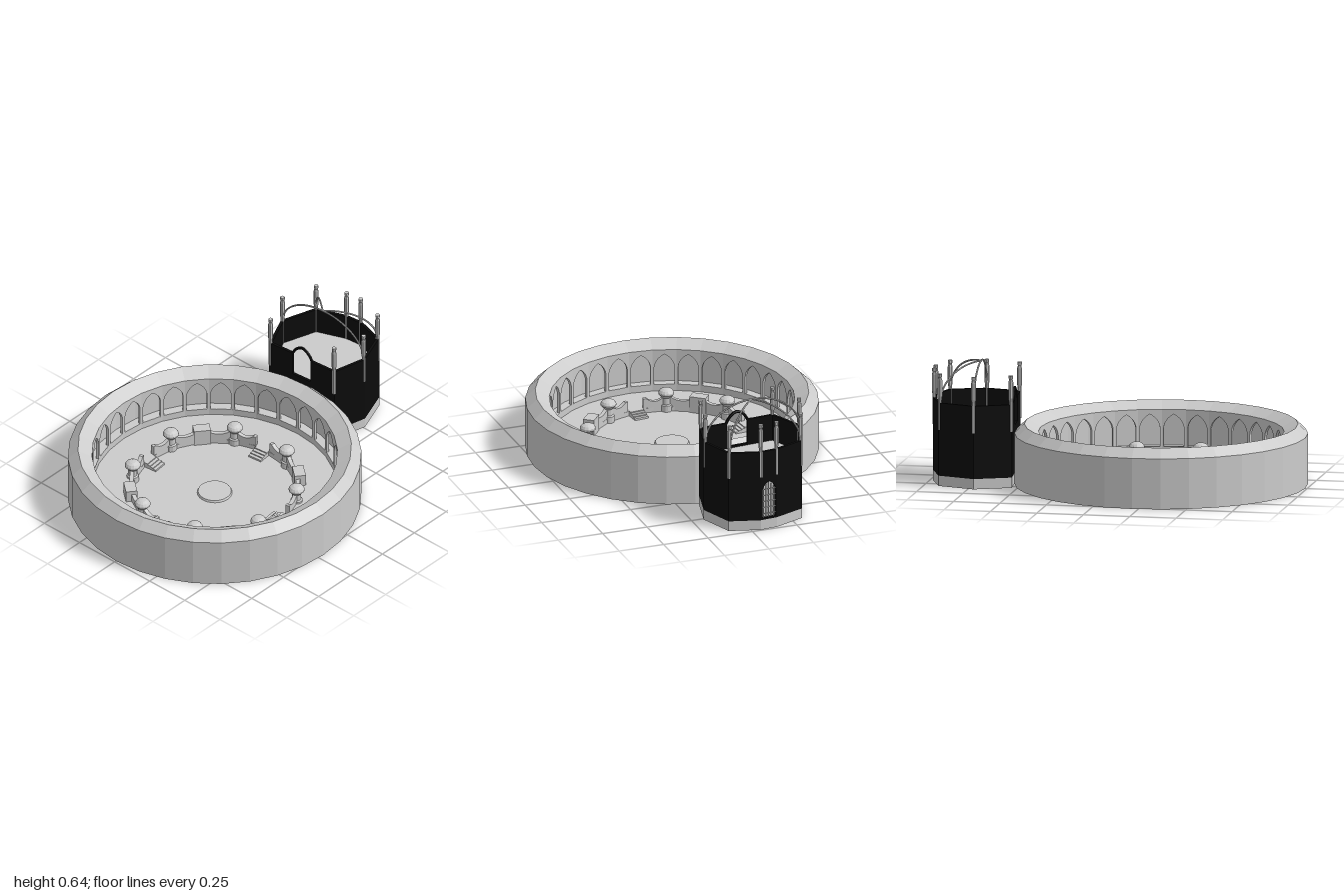
import * as THREE from 'three';

const grey = new THREE.MeshStandardMaterial({ color: 0xcccccc, flatShading: true, side: THREE.DoubleSide });
const dark = new THREE.MeshStandardMaterial({ color: 0x0c0c0c, flatShading: true, side: THREE.DoubleSide });
const V2 = (x, y) => new THREE.Vector2(x, y);
const RAD = Math.PI / 180;

function add(parent, name, geometry, material = grey, x = 0, y = 0, z = 0) {
  const mesh = new THREE.Mesh(geometry, material);
  mesh.name = name;
  mesh.position.set(x, y, z);
  parent.add(mesh);
  return mesh;
}

function lathe(points, sides) {
  return new THREE.LatheGeometry(points.map(p => V2(...p)), sides);
}

function extrude(shape, depth) {
  return new THREE.ExtrudeGeometry(shape, { depth, bevelEnabled: false, curveSegments: 8 });
}

// Group on a circle: local +x points outward, local z runs along the circle
function spot(parent, name, radius, degrees) {
  const g = new THREE.Group();
  const t = degrees * RAD;
  g.name = name;
  g.position.set(radius * Math.cos(t), 0, radius * Math.sin(t));
  g.rotation.y = -t;
  parent.add(g);
  return g;
}

function rectangle(x0, y0, x1, y1) {
  return new THREE.Shape([V2(x0, y0), V2(x1, y0), V2(x1, y1), V2(x0, y1)]);
}

// Pointed opening of half width w around x = cx
function pointedHole(cx, w, y0, spring, peak) {
  const p = new THREE.Path();
  p.moveTo(cx - w, y0);
  p.lineTo(cx - w, spring);
  p.quadraticCurveTo(cx - w * 0.9, spring + (peak - spring) * 0.65, cx, peak);
  p.quadraticCurveTo(cx + w * 0.9, spring + (peak - spring) * 0.65, cx + w, spring);
  p.lineTo(cx + w, y0);
  p.closePath();
  return p;
}

function createArena() {
  const arena = new THREE.Group();
  arena.name = 'arena';
  arena.position.z = 0.215;

  // Outer wall, sloped rim, gallery recess, terrace and sunken floor in one profile
  add(arena, 'ringWallAndFloor', lathe([
    [0, 0.01], [0.055, 0.01], [0.055, 0], [0.775, 0], [0.775, 0.27], [0.722, 0.32],
    [0.648, 0.28], [0.648, 0.265], [0.7, 0.265], [0.7, 0.08], [0.648, 0.08],
    [0.648, 0.045], [0.43, 0.045], [0.43, 0.02], [0, 0.02],
  ], 32));
  add(arena, 'centreDisc', new THREE.CylinderGeometry(0.088, 0.093, 0.012, 24), grey, 0, 0.025, 0);

  // Arcade of pointed arches around the gallery
  const bay = rectangle(-0.064, 0.08, 0.064, 0.27);
  bay.holes.push(pointedHole(0, 0.054, 0.082, 0.18, 0.255));
  const bayGeometry = extrude(bay, 0.014);
  for (let i = 0; i < 32; i++) {
    const g = spot(arena, 'arcadeBay', 0.645, (i + 0.5) * 360 / 32);
    add(g, 'arch', bayGeometry).rotation.y = Math.PI / 2;
  }

  // Bowls on pedestals
  const urn = lathe([
    [0, 0.02], [0.032, 0.02], [0.032, 0.055], [0.024, 0.06], [0.024, 0.095],
    [0.042, 0.115], [0.042, 0.125], [0.034, 0.137], [0.018, 0.145], [0, 0.147],
  ], 14);
  // Scalloped balustrade panel between two angles
  function balustrade(from, to) {
    const r = 0.44;
    const half = r * Math.sin((to - from) / 2 * RAD);
    const s = new THREE.Shape();
    s.moveTo(-half, 0.02);
    s.lineTo(half, 0.02);
    s.lineTo(half, 0.1);
    s.lineTo(half * 0.75, 0.1);
    s.quadraticCurveTo(0, 0.06, -half * 0.75, 0.1);
    s.lineTo(-half, 0.1);
    const g = spot(arena, 'balustrade', r - 0.012, (from + to) / 2);
    add(g, 'scallopedPanel', extrude(s, 0.022)).rotation.y = Math.PI / 2;
  }
  for (let q = 0; q < 4; q++) {
    const a = q * 90;
    add(spot(arena, 'urnA', 0.445, a + 16.5), 'urn', urn);
    add(spot(arena, 'urnB', 0.445, a + 61.5), 'urn', urn);
    add(spot(arena, 'blockSpot', 0.45, a + 39), 'block',
      new THREE.BoxGeometry(0.06, 0.09, 0.09), grey, 0, 0.065, 0);
    balustrade(a, a + 16.5);
    balustrade(a + 16.5, a + 39);
    balustrade(a + 39, a + 61.5);
    balustrade(a + 61.5, a + 78);

    // Steps from the terrace down to the floor
    const stair = spot(arena, 'stair', 0.43, a - 6);
    for (let k = 0; k < 4; k++) {
      const h = 0.03 - k * 0.006;
      add(stair, 'step', new THREE.BoxGeometry(0.02, h, 0.08), grey, -0.01 - k * 0.018, 0.018 + h / 2, 0);
    }
  }
  return arena;
}

// Tower corners in plan (x, z), starting at the front edge
const corners = [[-0.29, -0.53], [0.14, -0.57], [0.185, -0.76], [0.115, -0.95],
  [-0.05, -0.995], [-0.145, -0.985], [-0.31, -0.92], [-0.375, -0.72]];
const cx = -0.093, cz = -0.735, floorY = 0.3, wallTop = 0.445;

function slab(scale, y, height) {
  const s = new THREE.Shape(corners.map(([x, z]) =>
    V2(cx + (x - cx) * scale, -(cz + (z - cz) * scale))));
  return extrude(s, height).rotateX(-Math.PI / 2).translate(0, y, 0);
}

function createTower() {
  const tower = new THREE.Group();
  tower.name = 'tower';
  add(tower, 'base', slab(1, 0, 0.055));
  add(tower, 'floor', slab(0.96, floorY - 0.015, 0.015));

  corners.forEach(([ax, az], i) => {
    const [bx, bz] = corners[(i + 1) % corners.length];
    const len = Math.hypot(bx - ax, bz - az);
    const side = new THREE.Group();
    side.name = 'towerSide';
    side.position.set(ax, 0, az);
    side.rotation.y = -Math.atan2(bz - az, bx - ax);
    tower.add(side);

    let shape = rectangle(0, 0.055, len, wallTop);
    if (i === 0) {
      // Open doorway towards the rim, with a raised arch over it
      const d0 = 0.155, d1 = 0.275;
      shape = new THREE.Shape([V2(0, 0.055), V2(len, 0.055), V2(len, wallTop), V2(d1, wallTop),
        V2(d1, 0.31), V2(d0, 0.31), V2(d0, wallTop), V2(0, wallTop)]);
      const arch = new THREE.CatmullRomCurve3([[d0 - 0.005, 0.44], [d0 + 0.02, 0.478],
        [(d0 + d1) / 2, 0.5], [d1 - 0.02, 0.478], [d1 + 0.005, 0.44]]
        .map(([x, y]) => new THREE.Vector3(x, y, -0.008)));
      add(side, 'doorArch', new THREE.TubeGeometry(arch, 16, 0.008, 6), dark);
    }
    if (i === 4) {
      // Barred arched window at the back
      shape.holes.push(pointedHole(len / 2, 0.04, 0.065, 0.22, 0.27));
      for (let k = -2; k <= 2; k++) {
        const h = 0.2 - Math.abs(k) * 0.012;
        add(side, 'windowBar', new THREE.BoxGeometry(0.004, h, 0.004), grey, len / 2 + k * 0.015, 0.065 + h / 2, -0.006);
      }
      for (let k = 0; k < 5; k++) {
        add(side, 'windowCrossBar', new THREE.BoxGeometry(0.08, 0.004, 0.004), grey, len / 2, 0.085 + k * 0.035, -0.007);
      }
      add(side, 'windowBack', new THREE.BoxGeometry(0.088, 0.21, 0.004), grey, len / 2, 0.17, -0.019);
    }
    add(side, 'wall', extrude(shape, 0.015).translate(0, 0, -0.015), dark);
  });

  // Corner posts with a swollen upper shaft and a small cap
  const post = lathe([[0, floorY], [0.01, floorY], [0.01, 0.46], [0.013, 0.48], [0.013, 0.565],
    [0.009, 0.58], [0.012, 0.585], [0.012, 0.6], [0, 0.6]], 8);
  for (const [x, z] of corners) {
    add(tower, 'cornerPost', post, grey, cx + (x - cx) * 0.97, 0, cz + (z - cz) * 0.97);
  }

  // Ribs rising from the corners to a common crown
  for (const i of [2, 3, 6, 7]) {
    const [x, z] = corners[i];
    const points = [];
    for (let k = 0; k <= 12; k++) {
      const t = k / 12 * Math.PI / 2;
      const c = Math.cos(t) * 0.97;
      points.push(new THREE.Vector3(cx + (x - cx) * c, 0.44 + 0.2 * Math.sin(t), cz + (z - cz) * c));
    }
    add(tower, 'crownRib', new THREE.TubeGeometry(new THREE.CatmullRomCurve3(points), 24, 0.005, 6));
  }
  return tower;
}

export function createModel() {
  const model = new THREE.Group();
  model.name = 'arenaWithTower';
  model.add(createArena(), createTower());
  return model;
}
